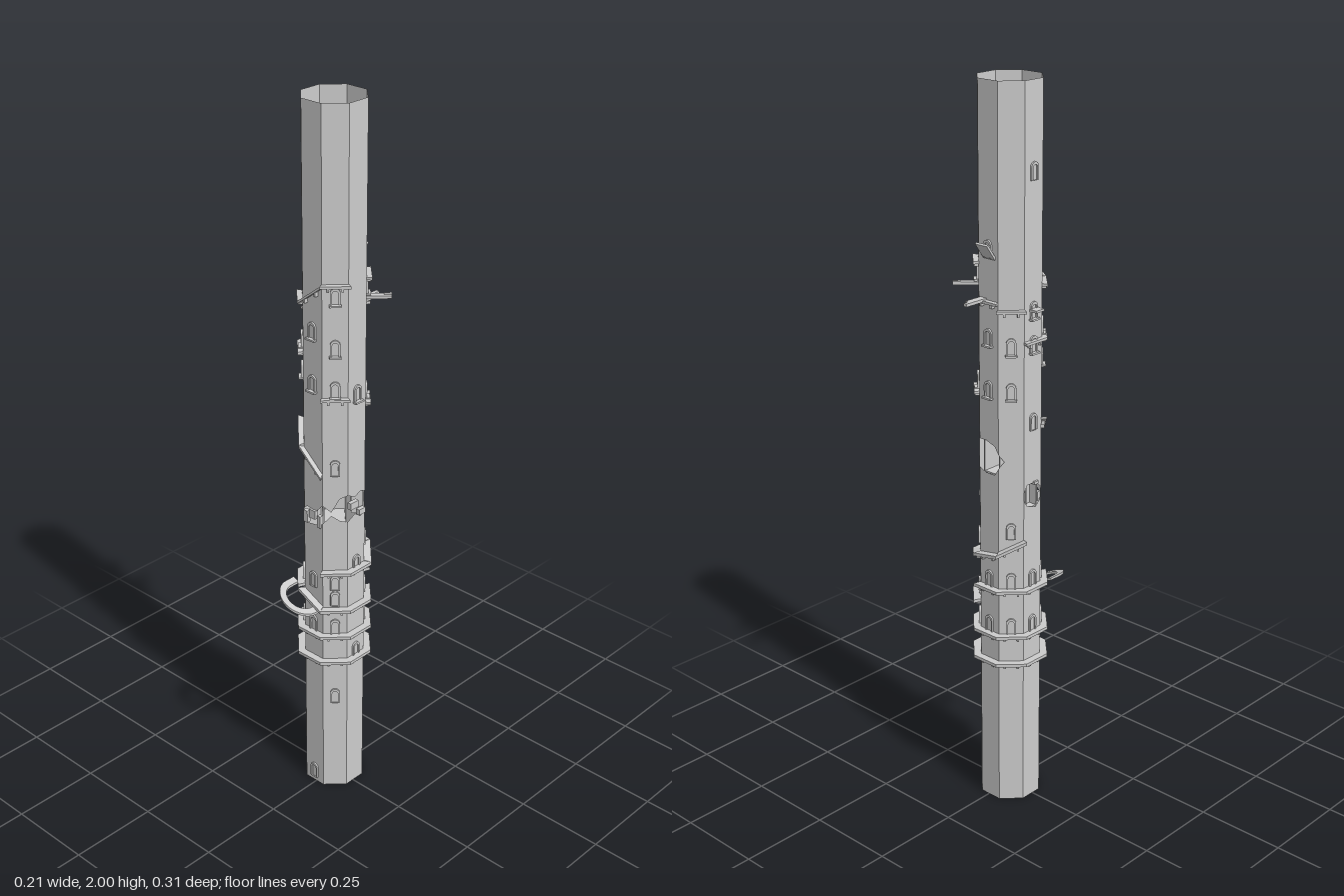
import * as THREE from 'three';

const R = 0.08;                       // wall distance from the tower axis
const T = Math.tan(Math.PI / 8);
const W = R * T;                      // half width of one wall face

export function createModel() {
  const stone = new THREE.MeshStandardMaterial({ color: 0xcccccc, side: THREE.DoubleSide });
  stone.name = 'stone grey';
  const model = new THREE.Group();
  model.name = 'tower';
  const tower = new THREE.Group();
  tower.name = 'shaft';
  tower.position.set(-0.006, 0, -0.006);
  model.add(tower);

  // Eight sides: 0 faces the front, then round through +x
  const sides = Array.from({ length: 8 }, (_, k) => {
    const g = new THREE.Group();
    g.name = 'side' + k;
    g.rotation.y = k * Math.PI / 4;
    tower.add(g);
    return g;
  });
  const add = (parent, name, geo, x = 0, y = 0, z = 0) => {
    const m = new THREE.Mesh(geo, stone);
    m.name = name;
    m.position.set(x, y, z);
    parent.add(m);
    return m;
  };
  const box = (parent, name, w, h, d, x, y, z) =>
    add(parent, name, new THREE.BoxGeometry(w, h, d), x, y, z);
  const poly = pts => new THREE.Shape(pts.map(p => new THREE.Vector2(p[0], p[1])));

  // Broken openings across a side: [u, low y, high y] from left to right
  const breaches = {
    0: [[-W, 0.87, 0.89], [-0.022, 0.85, 0.9], [0.01, 0.855, 0.895], [W, 0.865, 0.92]],
    1: [[-W, 0.865, 0.92], [-0.01, 0.89, 0.9], [0.012, 0.875, 0.94], [W, 0.87, 0.95]],
    2: [[-W, 0.87, 0.95], [-0.005, 0.885, 0.935], [0.015, 0.87, 0.945], [W, 0.875, 0.94]],
    3: [[-W, 0.875, 0.94], [-0.015, 0.89, 0.935], [0, 0.91, 0.91], [W, 0.91, 0.91]],
    4: [[-W, 0.99, 1.07], [-0.01, 0.98, 1.07], [0.02, 0.98, 1.06], [W, 1.0, 1.04]],
    5: [[-W, 1.0, 1.04], [-0.018, 1.02, 1.02], [W, 1.02, 1.02]],
    6: [[-W, 0.91, 0.93], [-0.02, 0.89, 0.95], [0.012, 0.88, 0.95], [W, 0.9, 0.93]],
    7: [[-W, 0.9, 0.93], [-0.02, 0.9, 0.91], [-0.005, 0.88, 0.88], [0.02, 0.88, 0.88], [W, 0.87, 0.89]],
  };
  // Upper opening also wraps the side before it
  const corner = [[-W, 1.03, 1.03], [0.0, 1.03, 1.03], [0.012, 1.0, 1.06], [W, 0.99, 1.07]];

  sides.forEach((side, k) => {
    let floor = [[-W, 0], [W, 0]];
    const cuts = [breaches[k]];
    if (k === 3) cuts.push(corner);
    for (const cut of cuts) {
      const low = cut.map(([u, a]) => [u, a]).reverse();
      add(side, 'wall', new THREE.ShapeGeometry(poly([...floor, ...low])), 0, 0, R);
      floor = cut.map(([u, , b]) => [u, b]);
    }
    add(side, 'wall', new THREE.ShapeGeometry(poly([...floor, [W, 2], [-W, 2]])), 0, 0, R);
  });
  const base = new THREE.CircleGeometry(R / Math.cos(Math.PI / 8), 8, Math.PI / 8);
  add(tower, 'base', base.rotateX(Math.PI / 2), 0, 0.001, 0);

  // Chambers behind the broken openings, open towards the outside
  const chamber = (k, u, y, w, h, d) => {
    const z = R - 0.004 - d / 2;
    for (const s of [-1, 1]) {
      box(sides[k], 'chamberSlab', w, 0.004, d, u, y + s * h / 2, z);
      box(sides[k], 'chamberSide', 0.004, h, d, u + s * w / 2, y, z);
    }
    box(sides[k], 'chamberBack', w, h, 0.004, u, y, z - d / 2);
  };
  chamber(4, 0.007, 1.025, 0.054, 0.09, 0.075);
  chamber(1, 0, 0.905, 0.06, 0.09, 0.085);
  chamber(6, 0, 0.915, 0.04, 0.07, 0.025);
  chamber(3, -0.01, 0.905, 0.035, 0.07, 0.03);
  // Rubble in the front and right gaps
  for (const [k, u, y, w, h] of [[0, -0.024, 0.87, 0.014, 0.035], [0, 0, 0.885, 0.022, 0.025],
    [0, 0.024, 0.87, 0.012, 0.035], [2, -0.012, 0.915, 0.03, 0.02], [2, 0.018, 0.885, 0.024, 0.016],
    [6, 0.01, 0.95, 0.016, 0.008]])
    box(sides[k], 'rubble', w, h, 0.012, u, y, R);

  // Walkway along one side, level or sloping from ya to yb, on small brackets
  const ledge = (k, ya, yb = ya, out = 0.1, t = 0.009) => {
    const shape = poly([[-W, R - 0.002], [W, R - 0.002], [out * T, out], [-out * T, out]]);
    const geo = new THREE.ExtrudeGeometry(shape, { depth: t, bevelEnabled: false });
    geo.rotateX(Math.PI / 2);
    const p = geo.attributes.position;
    for (let i = 0; i < p.count; i++)
      p.setY(i, p.getY(i) + ya + (yb - ya) * (p.getX(i) / (2 * out * T) + 0.5));
    geo.computeVertexNormals();
    add(sides[k], 'walkway', geo);
    for (const s of [-1, 1]) {
      const y = (ya + yb) / 2 + s * (yb - ya) * 0.22;
      box(sides[k], 'bracket', 0.006, 0.012, 0.012, s * 0.018, y - t - 0.004, R + 0.005);
    }
  };
  for (let k = 0; k < 8; k++) {
    ledge(k, 0.437);
    ledge(k, 0.52);
  }
  ledge(0, 0.645, 0.604);
  for (const k of [1, 2, 3]) ledge(k, 0.604);
  for (const k of [4, 5, 6, 7]) ledge(k, 0.655);
  for (const [k, a, b] of [[1, 0.722], [2, 0.722], [3, 0.722, 0.745], [4, 0.745, 0.76], [5, 0.76, 0.8],
    [7, 1.13, 1.08], [0, 1.08, 1.01], [1, 1.235], [3, 1.2], [6, 1.345], [7, 1.345],
    [7, 1.485], [0, 1.485, 1.545], [1, 1.545], [3, 1.545], [4, 1.45], [5, 1.43]])
    ledge(k, a, b, a > 0.9 ? 0.094 : 0.1, a > 0.9 ? 0.007 : 0.009);

  // Looping ramp in front
  const loop = new THREE.Shape();
  loop.moveTo(-0.058, -0.03);
  loop.lineTo(-0.058, 0);
  loop.absarc(0, 0, 0.058, Math.PI, 0, true);
  loop.lineTo(0.058, -0.01);
  loop.lineTo(0.04, -0.01);
  loop.lineTo(0.04, 0);
  loop.absarc(0, 0, 0.04, 0, Math.PI, false);
  loop.lineTo(-0.04, -0.03);
  const ramp = new THREE.ExtrudeGeometry(loop, { depth: 0.007, bevelEnabled: false, curveSegments: 14 });
  ramp.rotateX(Math.PI / 2);
  const rp = ramp.attributes.position;
  for (let i = 0; i < rp.count; i++) rp.setY(i, rp.getY(i) + 0.625 - rp.getX(i) * 0.43);
  ramp.computeVertexNormals();
  add(model, 'loopRamp', ramp, -0.032, 0, 0.097);

  // Arched windows: frame, thin pane and sill
  const arch = (w, h) => {
    const s = new THREE.Shape();
    s.moveTo(-w, 0);
    s.lineTo(w, 0);
    s.lineTo(w, h - w);
    s.absarc(0, h - w, w, 0, Math.PI, false);
    s.lineTo(-w, 0);
    return s;
  };
  const frameShape = arch(0.013, 0.046);
  frameShape.holes.push(arch(0.008, 0.039));
  const frame = new THREE.ExtrudeGeometry(frameShape, { depth: 0.006, bevelEnabled: false, curveSegments: 5 });
  const pane = new THREE.ShapeGeometry(arch(0.008, 0.039), 5);
  const sill = new THREE.BoxGeometry(0.03, 0.005, 0.014);
  const windows = {
    0: [0.015, 0.52, 0.66, 1.245, 1.39],
    1: [0.29, 0.52, 0.61, 0.66, 1.01, 1.235, 1.35, 1.49],
    2: [0.43, 0.71, 1.215],
    3: [0.52, 0.61, 0.76, 1.2, 1.49],
    4: [0.52, 0.655, 1.19, 1.33, 1.56],
    5: [0.52, 0.655, 0.8, 1.19, 1.31],
    6: [0.52, 0.655, 1.1, 1.31, 1.4, 1.755],
    7: [0.52, 0.655, 1.26, 1.345],
  };
  for (const k in windows) for (const y of windows[k]) {
    add(sides[k], 'windowFrame', frame, 0, y, R - 0.001);
    add(sides[k], 'windowPane', pane, 0, y, R + 0.001);
    if (y > 1.1 && y < 1.5) add(sides[k], 'windowSill', sill, 0, y, R + 0.005);
  }

  // Planks and a tilted canopy near the top of the walkways
  box(sides[3], 'plank', 0.018, 0.008, 0.07, 0, 1.48, 0.11);
  box(sides[3], 'plankEnd', 0.01, 0.008, 0.02, 0.004, 1.482, 0.136);
  box(sides[4], 'plank', 0.011, 0.008, 0.075, -0.012, 1.45, 0.114);
  box(sides[4], 'plank', 0.011, 0.008, 0.058, -0.022, 1.45, 0.106);
  box(sides[4], 'canopy', 0.04, 0.006, 0.05, 0.005, 1.58, 0.094).rotation.x = -0.95;
  box(sides[6], 'balcony', 0.03, 0.006, 0.028, 0, 1.425, 0.09);

  return model;
}
